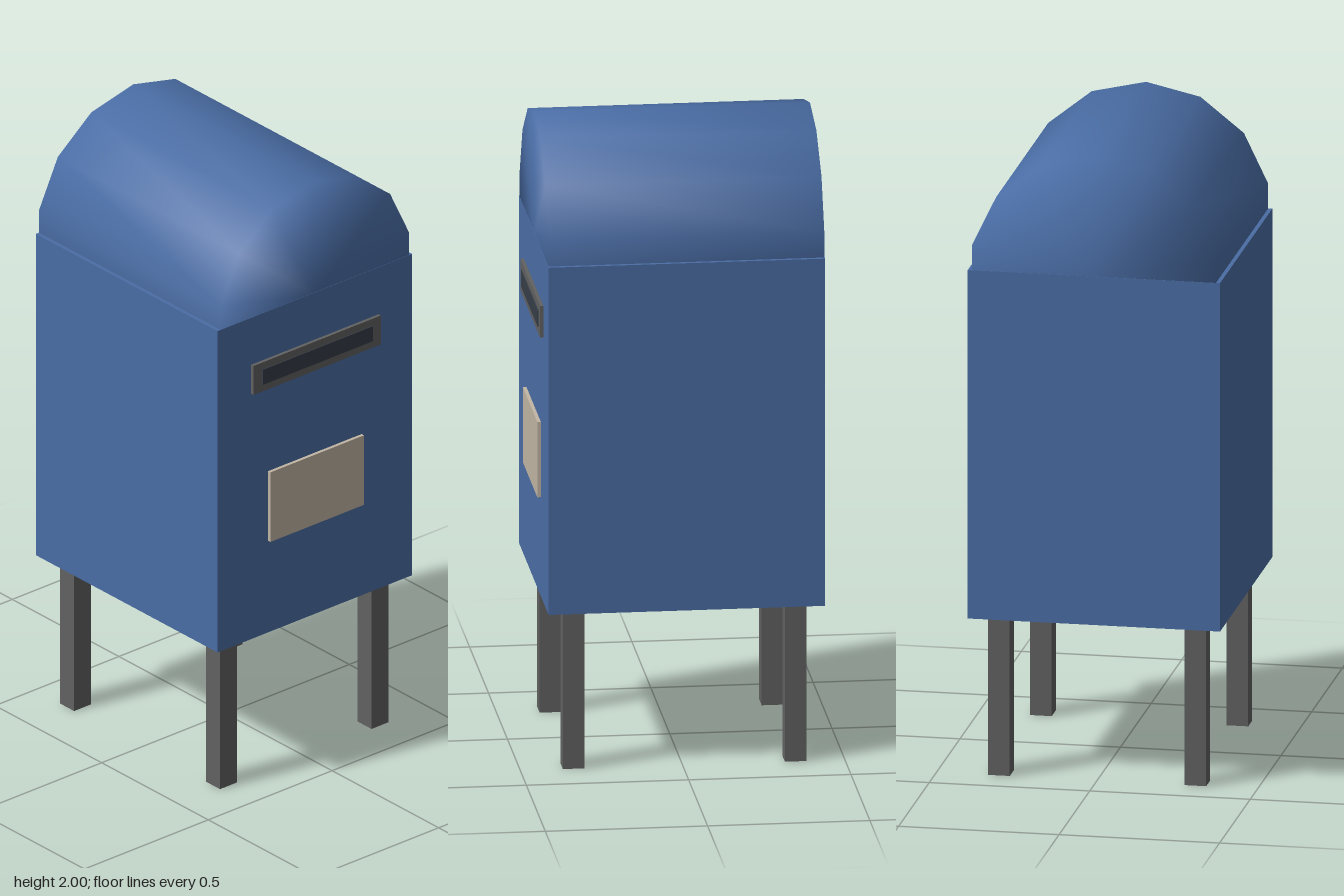
import * as THREE from 'three';
import { mergeVertices } from 'three/addons/utils/BufferGeometryUtils.js';

const paint = (name, color) => {
  const m = new THREE.MeshStandardMaterial({ color });
  m.name = name;
  return m;
};

export function createModel() {
  const model = new THREE.Group();
  model.name = 'mailbox';
  const blue = paint('blue', 0x4a6da5);
  const grey = paint('darkGrey', 0x616161);
  const slotDark = paint('slotDark', 0x363e48);
  const cream = paint('cream', 0xc2b6a5);

  const add = (name, geometry, material, x, y, z) => {
    const mesh = new THREE.Mesh(geometry, material);
    mesh.name = name;
    mesh.position.set(x, y, z);
    model.add(mesh);
    return mesh;
  };
  const box = (name, material, w, h, d, x, y, z) =>
    add(name, new THREE.BoxGeometry(w, h, d), material, x, y, z);

  // Main cabinet
  const centreZ = -0.007, depth = 0.852;
  box('body', blue, 0.786, 1.108, depth, 0, 1.063, centreZ);

  // Barrel roof: 14-sided drum, normals smoothed across the rims,
  // a hair shorter than the cabinet so its lower half stays hidden
  let drum = new THREE.CylinderGeometry(0.39, 0.39, depth - 0.002, 14, 1);
  drum.rotateX(Math.PI / 2);
  // a corner at the very top
  drum.rotateZ(Math.PI);
  drum.computeBoundingBox();
  if (drum.boundingBox.max.y < 0.3899) drum.rotateZ(Math.PI / 14);
  drum.deleteAttribute('normal');
  drum.deleteAttribute('uv');
  drum = mergeVertices(drum, 1e-4);
  drum.computeVertexNormals();
  add('roof', drum, blue, 0, 1.61, centreZ);

  // Four square legs
  for (const x of [-0.306, 0.306])
    for (const z of [-0.348, 0.336])
      box(z > 0 ? 'frontLeg' : 'backLeg', grey, 0.068, 0.51, 0.066, x, 0.255, z);

  // Letter slot and notice plate on the front
  box('slotFrame', grey, 0.514, 0.1, 0.012, 0, 1.405, 0.424);
  box('slotOpening', slotDark, 0.444, 0.052, 0.008, 0, 1.405, 0.429);
  box('noticePlate', cream, 0.378, 0.24, 0.012, 0, 0.945, 0.424);

  return model;
}
